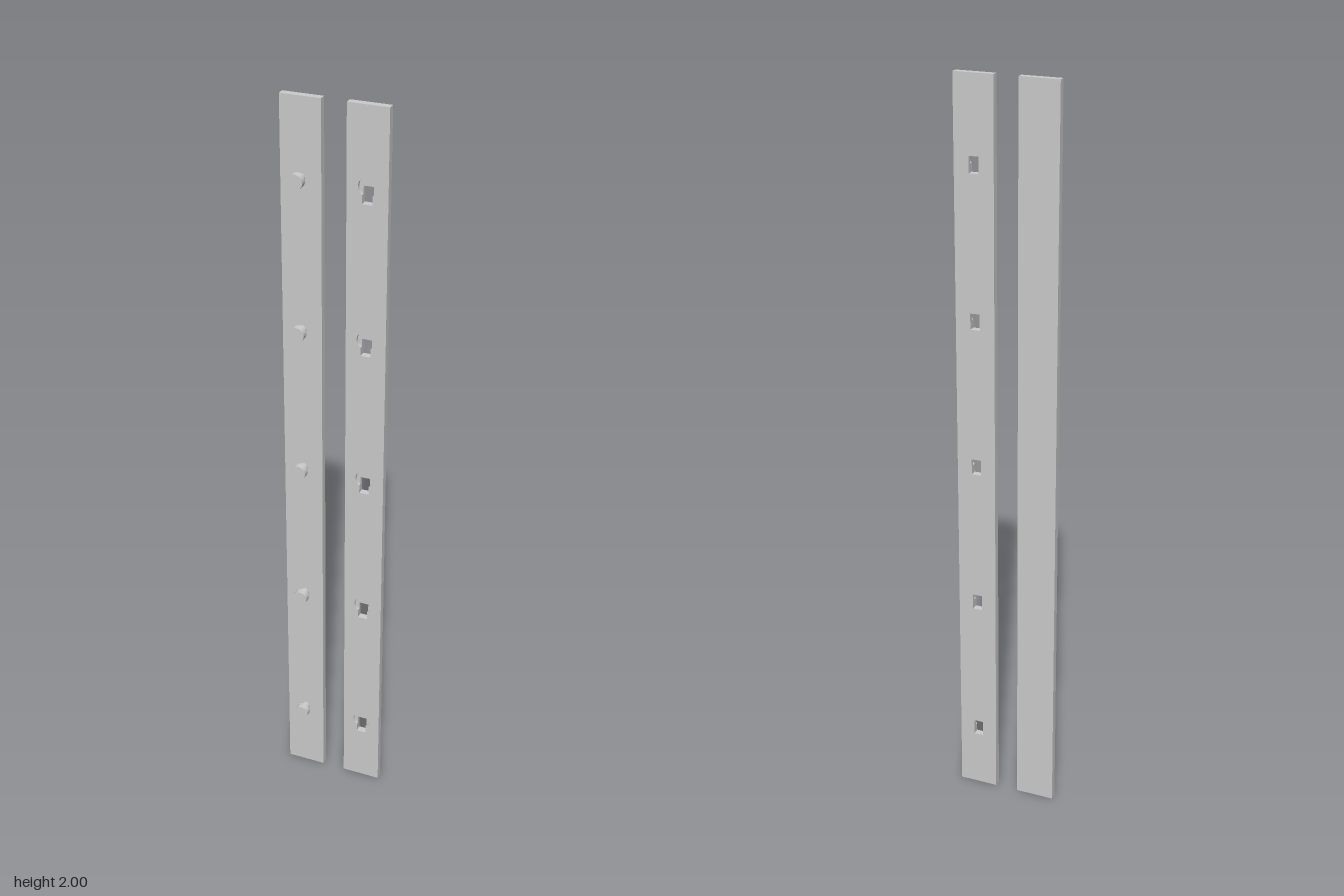
import * as THREE from 'three';

const LENGTH = 2, WIDTH = 0.106, BACK = -0.0275, THICK = 0.019;
const RECESS = 0.0095;               // depth of the round pocket
const PLATE_X = 0.085;               // plate centre, mirrored
const FRONT = BACK + THICK;
const HEIGHTS = [0.2, 0.6, 1.0, 1.4, 1.8];
const material = new THREE.MeshStandardMaterial({ color: 0xcccccc });

function add(parent, name, geometry, x = 0, y = 0, z = 0) {
  const mesh = new THREE.Mesh(geometry, material);
  mesh.name = name;
  mesh.position.set(x, y, z);
  parent.add(mesh);
  return mesh;
}

// Narrow through slot hanging below height y
const SLOT = 0.013, DROP = 0.043, POCKET = 0.024;
function slotPath(y) {
  return new THREE.Path([[-SLOT, y], [SLOT, y], [SLOT, y - DROP], [-SLOT, y - DROP]]
    .map(([px, py]) => new THREE.Vector2(px, py)));
}

// Round entry joined to the slot
function keyholePath(y) {
  const a = Math.acos(SLOT / POCKET);
  const path = new THREE.Path();
  path.moveTo(-SLOT, y - DROP);
  path.lineTo(SLOT, y - DROP);
  path.absarc(0, y, POCKET, -a, Math.PI + a, false);
  path.closePath();
  return path;
}

// One layer of the slotted plate, pierced by the given hole outline
function layer(holePath, depth) {
  const w = WIDTH / 2;
  const shape = new THREE.Shape([[-w, 0], [w, 0], [w, LENGTH], [-w, LENGTH]]
    .map(([px, py]) => new THREE.Vector2(px, py)));
  shape.holes = HEIGHTS.map(holePath);
  return new THREE.ExtrudeGeometry(shape, { depth, bevelEnabled: false, curveSegments: 32 });
}

function stud(y) {
  const group = new THREE.Group();
  group.name = 'stud';
  group.position.set(-PLATE_X - 0.001, y, 0);
  const stemEnd = 0.0095, headEnd = 0.0275;
  const disc = (r, z0, z1) =>
    new THREE.CylinderGeometry(r, r, z1 - z0, 32).rotateX(Math.PI / 2).translate(0, 0, (z0 + z1) / 2);
  add(group, 'stem', disc(0.012, FRONT, stemEnd));
  add(group, 'head', disc(0.02, stemEnd, headEnd));
  return group;
}

export function createModel() {
  const model = new THREE.Group();
  model.name = 'hangingRails';

  // Solid rail carrying the studs
  const studRail = new THREE.Group();
  studRail.name = 'studRail';
  add(studRail, 'studPlate', new THREE.BoxGeometry(WIDTH, LENGTH, THICK),
    -PLATE_X, LENGTH / 2, BACK + THICK / 2);
  HEIGHTS.forEach(y => studRail.add(stud(y)));

  // Rail with keyholes: blind round pocket in front, slot right through
  const keyholeRail = new THREE.Group();
  keyholeRail.name = 'keyholeRail';
  add(keyholeRail, 'slottedBackLayer', layer(slotPath, THICK - RECESS), PLATE_X, 0, BACK);
  add(keyholeRail, 'keyholeFrontLayer', layer(keyholePath, RECESS), PLATE_X, 0, FRONT - RECESS);

  model.add(studRail, keyholeRail);
  return model;
}
